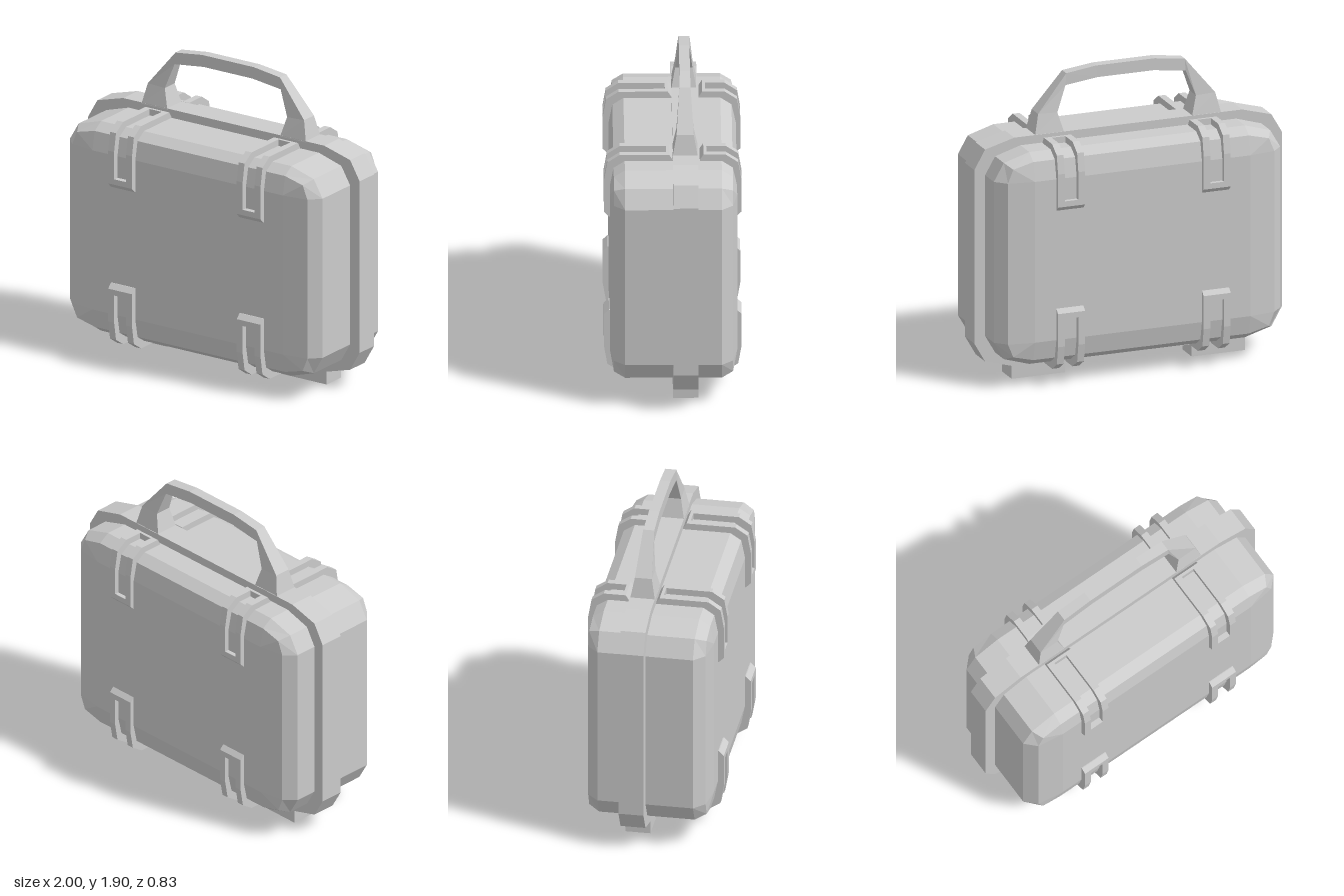
import * as THREE from 'three';

const material = new THREE.MeshStandardMaterial({ color: 0xcccccc, flatShading: true });
const MID_Y = 0.8025; // the case is mirrored about this height
const BAND_Z = -0.075; // middle of the centre band

function addMesh(parent, geometry, name) {
  const mesh = new THREE.Mesh(geometry, material);
  mesh.name = name;
  parent.add(mesh);
  return mesh;
}

// Skin a series of closed convex rings ([x, y, z] points) and cap both ends.
function loft(rings) {
  const pos = [];
  const tri = (a, b, c) => pos.push(...a, ...b, ...c);
  const n = rings[0].length;
  for (let r = 0; r < rings.length - 1; r++) {
    const a = rings[r], b = rings[r + 1];
    for (let i = 0; i < n; i++) {
      const j = (i + 1) % n;
      tri(a[i], a[j], b[j]);
      tri(a[i], b[j], b[i]);
    }
  }
  const first = rings[0], last = rings[rings.length - 1];
  for (let i = 1; i < n - 1; i++) {
    tri(first[0], first[i + 1], first[i]);
    tri(last[0], last[i], last[i + 1]);
  }
  const geometry = new THREE.BufferGeometry();
  geometry.setAttribute('position', new THREE.Float32BufferAttribute(pos, 3));
  geometry.computeVertexNormals();
  return geometry;
}

// Twelve-point outline from one corner (points run from the side to the top).
function outline(corner, z) {
  const back = [...corner].reverse();
  return [
    ...corner.map(([x, y]) => [x, MID_Y + y, z]),
    ...back.map(([x, y]) => [-x, MID_Y + y, z]),
    ...corner.map(([x, y]) => [-x, MID_Y - y, z]),
    ...back.map(([x, y]) => [x, MID_Y - y, z]),
  ];
}

// Extrude a (z, y) polygon along x between x0 and x1.
function extrudeAcross(points, x0, x1) {
  const shape = new THREE.Shape(points.map(([z, y]) => new THREE.Vector2(z, y)));
  const geometry = new THREE.ExtrudeGeometry(shape, { depth: x1 - x0, bevelEnabled: false });
  geometry.rotateY(-Math.PI / 2);
  geometry.translate(x1, 0, 0);
  return geometry;
}

// Latch wrapped over a shell edge: two rails joined by a bar at each end.
function makeLatch(front, top, x) {
  const s = front ? 0 : 0.163; // where the latch meets the band
  const place = (points) => points.map(([z, y]) => [front ? z : -z, top ? y : 2 * MID_Y - y]);
  const rail = place([
    [s, 1.48], [s + 0.022, 1.515], [0.32, 1.515], [0.395, 1.465], [0.415, 1.35],
    [0.415, 1.14], [0.385, 1.11], [0.34, 1.11], [0.34, 1.4], [0.28, 1.44], [s, 1.44],
  ]);
  const hingeBar = place([[s, 1.48], [s + 0.022, 1.515], [s + 0.04, 1.515], [s + 0.04, 1.44], [s, 1.44]]);
  const endBar = place([[0.34, 1.175], [0.415, 1.175], [0.415, 1.14], [0.385, 1.11], [0.34, 1.11]]);

  const latch = new THREE.Group();
  latch.name = `${front ? 'front' : 'back'}${top ? 'Upper' : 'Lower'}Latch`;
  addMesh(latch, extrudeAcross(rail, x - 0.088, x - 0.044), 'latchRail');
  addMesh(latch, extrudeAcross(rail, x + 0.044, x + 0.088), 'latchRail');
  addMesh(latch, extrudeAcross(hingeBar, x - 0.044, x + 0.044), 'latchHingeBar');
  addMesh(latch, extrudeAcross(endBar, x - 0.044, x + 0.044), 'latchEndBar');
  return latch;
}

export function createModel() {
  const model = new THREE.Group();
  model.name = 'hardCase';

  // Centre band
  const bandCorner = [[1, 0.55], [0.93, 0.672], [0.74, 0.725]];
  addMesh(model, loft([outline(bandCorner, -0.153), outline(bandCorner, 0)]), 'centreBand');

  // Bevelled shells in front of and behind the band
  const wide = [[0.93, 0.51], [0.865, 0.622], [0.7, 0.672]];
  const bevel = [[0.865, 0.51], [0.83, 0.595], [0.7, 0.628]];
  const face = [[0.7, 0.51], [0.7, 0.51], [0.7, 0.51]];
  addMesh(model, loft([
    outline(wide, -0.02), outline(wide, 0.29), outline(bevel, 0.357), outline(face, 0.38),
  ]), 'frontShell');
  addMesh(model, loft([
    outline(face, -0.388), outline(bevel, -0.362), outline(wide, -0.295), outline(wide, -0.13),
  ]), 'backShell');

  // Carrying handle: [outer x, outer y, inner x, inner y, half depth]
  const half = [
    [0.605, 1.52, 0.415, 1.52, 0.076],
    [0.575, 1.65, 0.45, 1.645, 0.052],
    [0.385, 1.88, 0.39, 1.805, 0.034],
    [0.19, 1.905, 0.18, 1.83, 0.032],
  ];
  const path = [...half, ...half.map(([a, b, c, d, w]) => [-a, b, -c, d, w]).reverse()];
  addMesh(model, loft(path.map(([ox, oy, ix, iy, w]) => [
    [ox, oy, BAND_Z + w], [ox, oy, BAND_Z - w], [ix, iy, BAND_Z - w], [ix, iy, BAND_Z + w],
  ])), 'handle');

  // Feet and latches on both sides
  for (const side of [-1, 1]) {
    const foot = addMesh(model, new THREE.BoxGeometry(0.345, 0.1, 0.153), 'foot');
    foot.position.set(side * 0.585, 0.05, -0.0765);
    for (const front of [true, false]) {
      for (const top of [true, false]) model.add(makeLatch(front, top, side * 0.473));
    }
  }
  return model;
}
